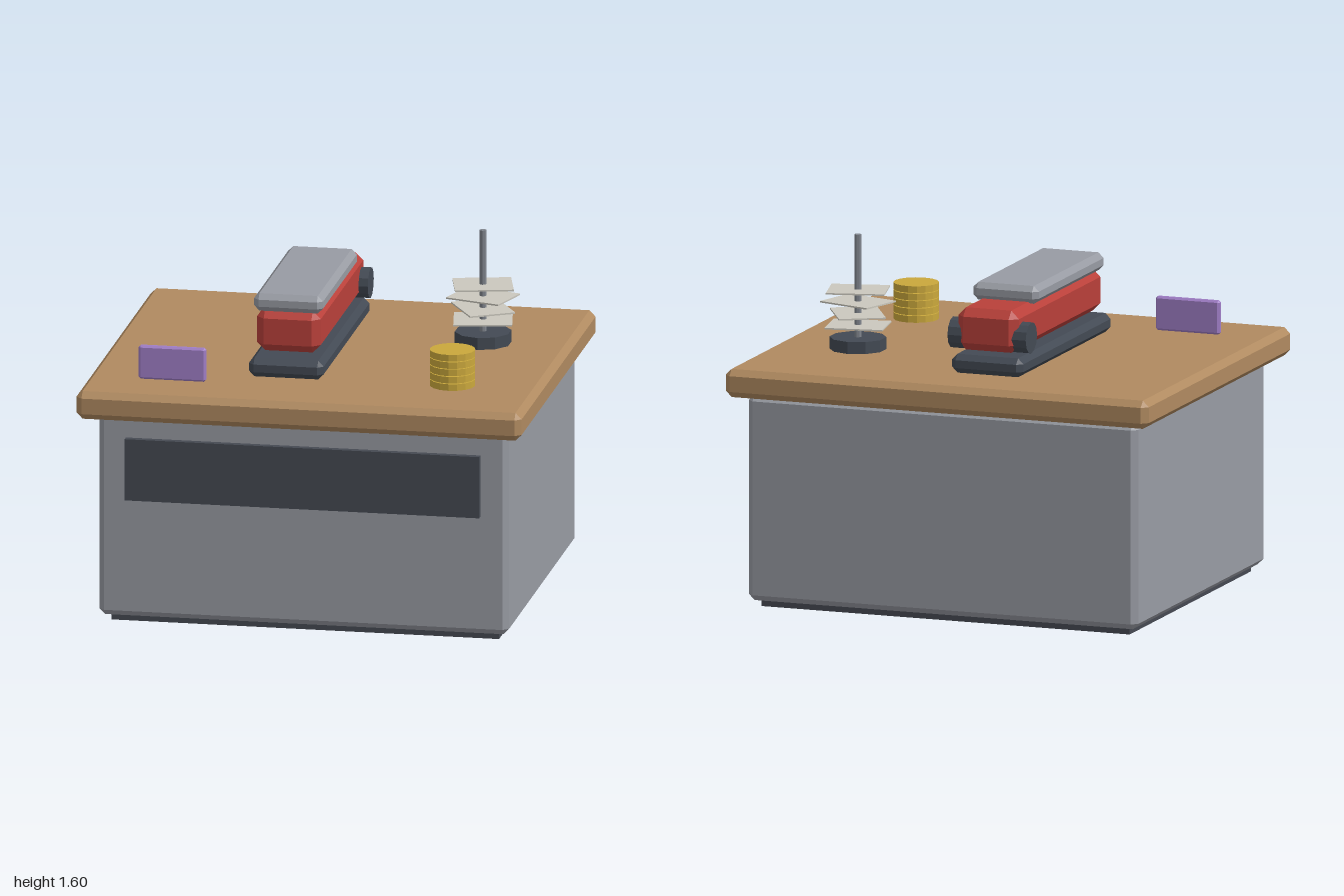
import * as THREE from 'three';
import { ConvexGeometry } from 'three/addons/geometries/ConvexGeometry.js';

const paint = (name, color) => {
  const m = new THREE.MeshStandardMaterial({ color });
  m.name = name;
  return m;
};

// Box with every edge chamfered by c
function chamferBox(w, h, d, c) {
  const points = [];
  for (const x of [-1, 1]) for (const y of [-1, 1]) for (const z of [-1, 1])
    for (const [a, b, e] of [[0, c, c], [c, 0, c], [c, c, 0]])
      points.push(new THREE.Vector3(x * (w / 2 - a), y * (h / 2 - b), z * (d / 2 - e)));
  return new ConvexGeometry(points);
}

export function createModel() {
  const wood = paint('wood', 0xb08a60);
  const grey = paint('grey', 0x989ba3);
  const dark = paint('darkGrey', 0x454952);
  const slate = paint('slate', 0x434a54);
  const red = paint('red', 0xb9403a);
  const gold = paint('gold', 0xcaa83c);
  const paper = paint('paper', 0xcbc8be);
  const steel = paint('steel', 0x80858d);
  const purple = paint('purple', 0xa17fc8);

  const model = new THREE.Group();
  model.name = 'deskWithSupplies';

  const add = (parent, name, geometry, material, x = 0, y = 0, z = 0) => {
    const mesh = new THREE.Mesh(geometry, material);
    mesh.name = name;
    mesh.position.set(x, y, z);
    parent.add(mesh);
    return mesh;
  };
  const group = (name, x, y, z) => {
    const g = new THREE.Group();
    g.name = name;
    g.position.set(x, y, z);
    model.add(g);
    return g;
  };
  // Part given by its extents; c is the chamfer
  const block = (parent, name, material, [x0, x1], [y0, y1], [z0, z1], c = 0) => {
    const size = [x1 - x0, y1 - y0, z1 - z0];
    const geometry = c ? chamferBox(...size, c) : new THREE.BoxGeometry(...size);
    return add(parent, name, geometry, material, (x0 + x1) / 2, (y0 + y1) / 2, (z0 + z1) / 2);
  };
  const cylinder = (r, h, sides) => new THREE.CylinderGeometry(r, r, h, sides).toNonIndexed();
  const faceted = (geometry) => {
    geometry.computeVertexNormals();
    return geometry;
  };

  // Desk
  const desk = group('desk', 0, 0, 0);
  block(desk, 'plinth', dark, [-0.87, 0.87], [0, 0.06], [-0.765, 0.72]);
  block(desk, 'cabinet', grey, [-0.92, 0.92], [0.03, 0.955], [-0.815, 0.77], 0.026);
  block(desk, 'frontPanel', dark, [-0.796, 0.796], [0.57, 0.85], [0.75, 0.8]);
  block(desk, 'tabletop', wood, [-1, 1], [0.953, 1.08], [-0.895, 0.895], 0.028);

  // Stapler
  const stapler = group('stapler', -0.13, 1.08, 0);
  block(stapler, 'staplerBase', slate, [-0.168, 0.168], [0, 0.085], [-0.61, 0.51], 0.025);
  block(stapler, 'staplerArm', red, [-0.143, 0.143], [0.105, 0.295], [-0.61, 0.46], 0.036);
  block(stapler, 'staplerCap', grey, [-0.155, 0.155], [0.287, 0.367], [-0.385, 0.457], 0.024);
  add(stapler, 'staplerHinge', faceted(cylinder(0.07, 0.37, 12)), slate, 0, 0.17, -0.53)
    .rotation.z = Math.PI / 2;

  // Paper spike: foot, rod and skewered sheets
  const spike = group('paperSpike', 0.612, 1.08, -0.253);
  add(spike, 'spikeFoot', faceted(cylinder(0.126, 0.054, 10)), slate, 0, 0.027, 0);
  add(spike, 'spikeRod', faceted(cylinder(0.016, 0.495, 8)), steel, 0, 0.268, 0);
  [10, -60, -17, 14].forEach((angle, i) => {
    add(spike, 'paperSheet', new THREE.BoxGeometry(0.26, 0.007, 0.21), paper, 0, 0.106 + i * 0.053, 0)
      .rotation.y = THREE.MathUtils.degToRad(angle);
  });

  // Coin stack
  const coins = group('coinStack', 0.612, 1.08, 0.462);
  for (let i = 0; i < 5; i++)
    add(coins, 'coin', faceted(cylinder(0.101, 0.03, 16)), gold, 0, 0.015 + i * 0.0335, 0);

  // Upright card
  block(model, 'standingCard', purple, [-0.768, -0.466], [1.08, 1.233], [0.597, 0.627], 0.009);

  return model;
}
